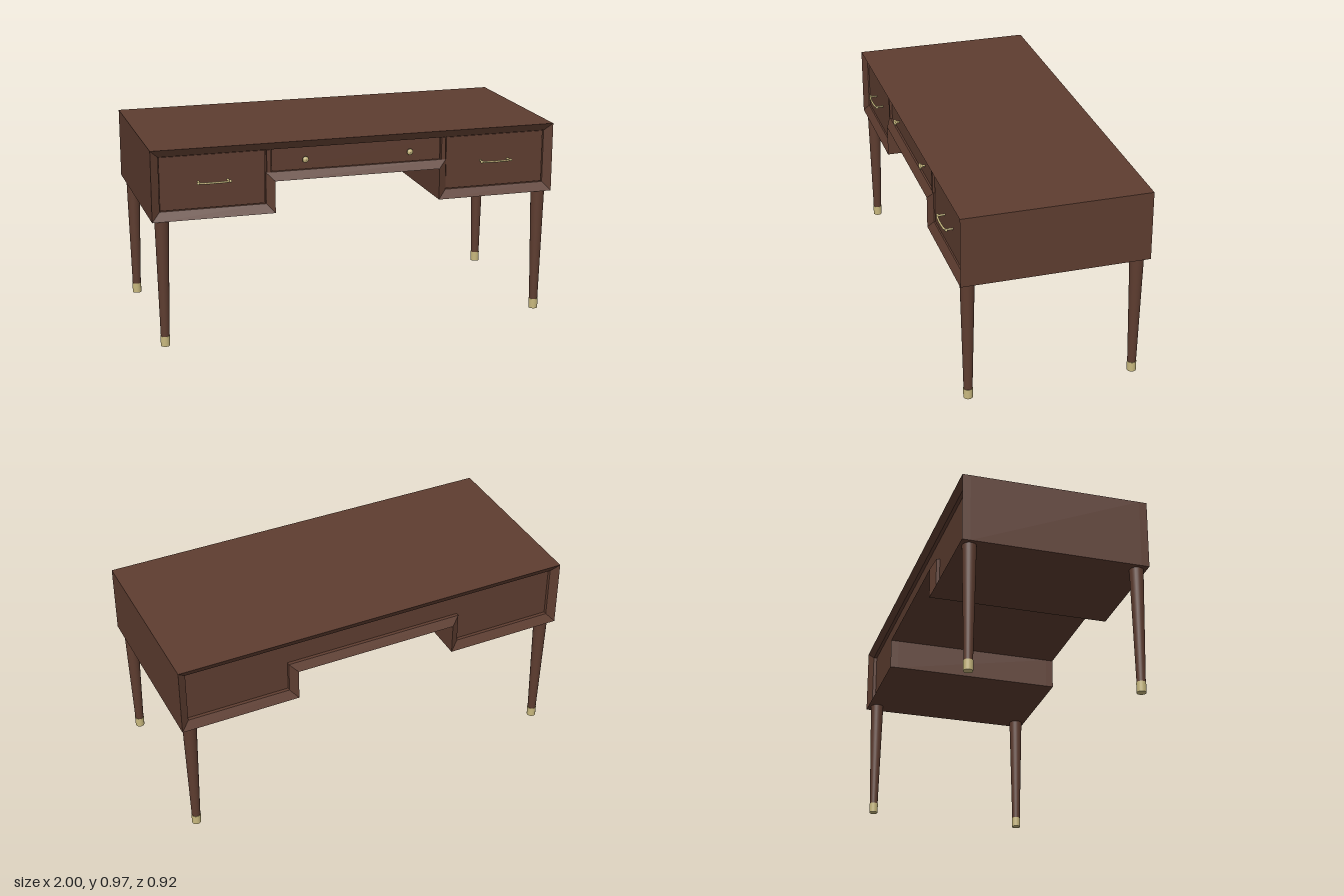
import * as THREE from 'three';

const wood = new THREE.MeshStandardMaterial({ color: 0x5e3d30 });
wood.name = 'walnut';
const brass = new THREE.MeshStandardMaterial({ color: 0xc9b97f });
brass.name = 'brass';

// Outline of the kneehole carcass, and the edge of the recess inside its rim
const outer = [[-1, 0.625], [-0.41, 0.625], [-0.41, 0.78], [0.41, 0.78], [0.41, 0.625], [1, 0.625], [1, 0.967], [-1, 0.967]];
const inner = [[-0.96, 0.668], [-0.45, 0.668], [-0.45, 0.82], [0.45, 0.82], [0.45, 0.668], [0.96, 0.668], [0.96, 0.93], [-0.96, 0.93]];

function add(parent, name, geometry, material, x = 0, y = 0, z = 0) {
  const mesh = new THREE.Mesh(geometry, material);
  mesh.name = name;
  mesh.position.set(x, y, z);
  parent.add(mesh);
  return mesh;
}

// Mitred rim: straight outer wall, face sloping inward, short inner wall
function rimGeometry(depth) {
  const rings = [[outer, 0], [outer, depth], [inner, depth - 0.023], [inner, 0]];
  const pos = [];
  for (let r = 0; r < rings.length - 1; r++) {
    const [a, za] = rings[r], [b, zb] = rings[r + 1];
    for (let i = 0; i < a.length; i++) {
      const j = (i + 1) % a.length;
      const p = [...a[i], za], q = [...a[j], za], s = [...b[j], zb], t = [...b[i], zb];
      pos.push(...p, ...q, ...s, ...p, ...s, ...t);
    }
  }
  const g = new THREE.BufferGeometry();
  g.setAttribute('position', new THREE.Float32BufferAttribute(pos, 3));
  g.computeVertexNormals();
  return g;
}

export function createModel() {
  const desk = new THREE.Group();
  desk.name = 'desk';

  // Carcass and rims
  const shape = new THREE.Shape(outer.map(([x, y]) => new THREE.Vector2(x, y)));
  add(desk, 'carcass', new THREE.ExtrudeGeometry(shape, { depth: 0.825, bevelEnabled: false }), wood, 0, 0, -0.42);
  add(desk, 'frontRim', rimGeometry(0.038), wood, 0, 0, 0.405);
  add(desk, 'backRim', rimGeometry(0.04), wood, 0, 0, -0.42).rotation.y = Math.PI;

  // Drawer fronts
  add(desk, 'centreDrawer', new THREE.BoxGeometry(0.84, 0.106, 0.008), wood, 0, 0.875, 0.408);

  // Bow handle path
  const path = new THREE.CatmullRomCurve3([
    [-0.07, 0.41], [-0.07, 0.435], [-0.065, 0.45], [-0.03, 0.455],
    [0.03, 0.455], [0.065, 0.45], [0.07, 0.435], [0.07, 0.41],
  ].map(([x, z]) => new THREE.Vector3(x, 0, z)));

  // Small knob, turned about its own axis
  const knobProfile = [[0, 0], [0.006, 0], [0.005, 0.014], [0.016, 0.022], [0.014, 0.028], [0, 0.032]]
    .map(([r, y]) => new THREE.Vector2(r, y));

  for (const side of [-1, 1]) {
    add(desk, 'sideDrawer', new THREE.BoxGeometry(0.503, 0.256, 0.01), wood, side * 0.705, 0.799, 0.409);
    add(desk, 'divider', new THREE.BoxGeometry(0.02, 0.11, 0.02), wood, side * 0.436, 0.875, 0.413);

    add(desk, 'handle', new THREE.TubeGeometry(path, 40, 0.005, 8), brass, side * 0.703, 0.799, 0);
    for (const end of [-1, 1]) {
      add(desk, 'handleTip', new THREE.SphereGeometry(0.007, 10, 8), brass, side * 0.703 + end * 0.076, 0.799, 0.447);
    }
    add(desk, 'knob', new THREE.LatheGeometry(knobProfile, 12), brass, side * 0.26, 0.873, 0.411).rotation.x = Math.PI / 2;

    // Tapered legs with metal feet
    for (const z of [0.398, -0.411]) {
      add(desk, 'leg', new THREE.CylinderGeometry(0.034, 0.021, 0.577, 24), wood, side * 0.948, 0.3385, z);
      add(desk, 'foot', new THREE.CylinderGeometry(0.0228, 0.0222, 0.05, 24), brass, side * 0.948, 0.025, z);
    }
  }
  return desk;
}
